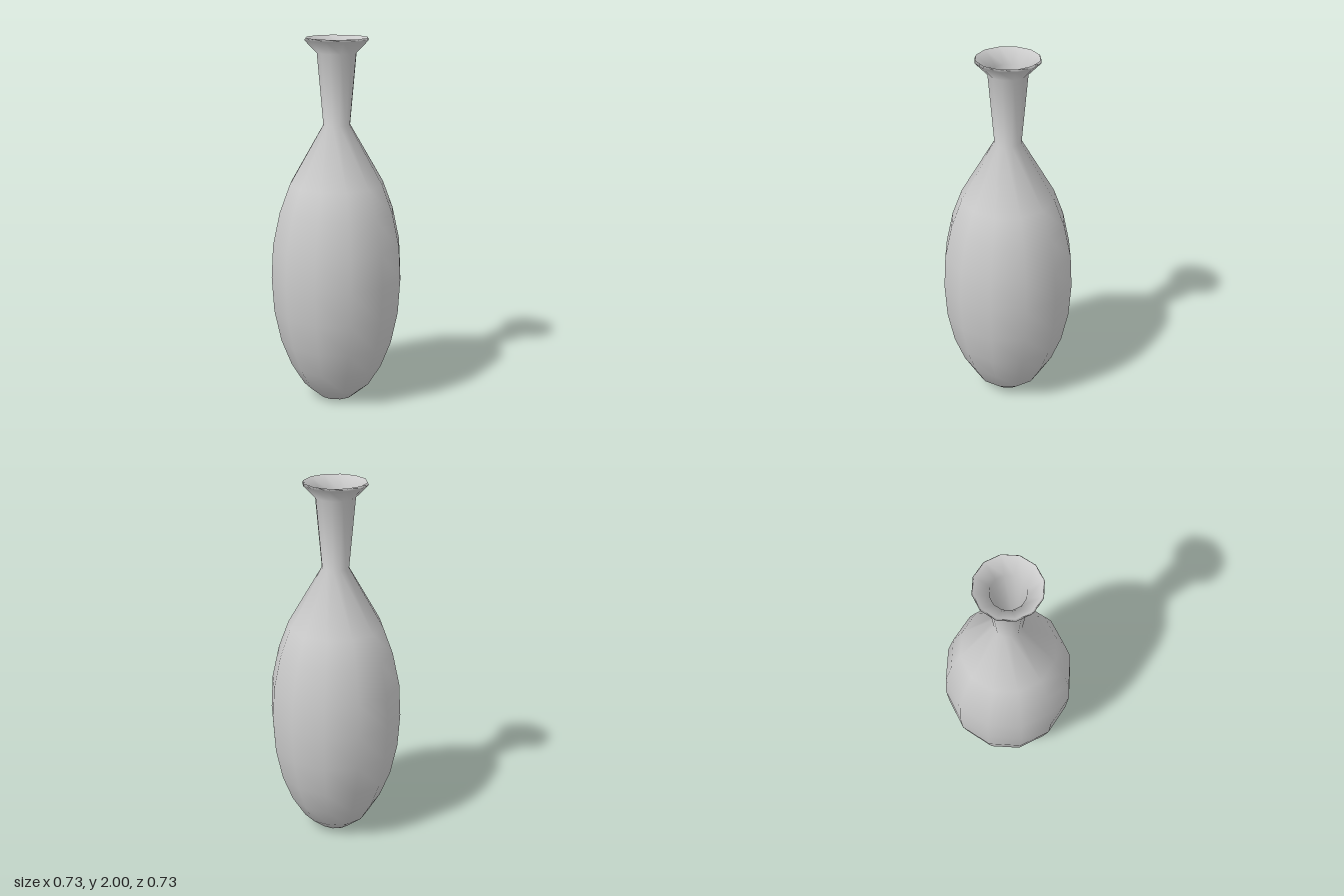
import * as THREE from 'three';

export function createModel() {
  const group = new THREE.Group();
  group.name = 'vase';

  // Outer wall, from the foot up to the flared lip: [radius, height]
  const outer = [
    [0.098, 0], [0.186, 0.075], [0.258, 0.195], [0.314, 0.34], [0.351, 0.515],
    [0.363, 0.705], [0.353, 0.89], [0.314, 1.07], [0.258, 1.22],
    [0.073, 1.54], [0.107, 1.92], [0.173, 1.988],
  ];
  // Inner wall, from the lip down to the floor
  const inner = [
    [0.166, 2], [0.09, 1.93], [0.061, 1.54], [0.247, 1.213], [0.301, 1.065],
    [0.34, 0.888], [0.35, 0.705], [0.338, 0.518], [0.302, 0.346],
    [0.247, 0.203], [0.177, 0.085], [0.093, 0.013],
  ];
  const profile = [[0, 0], ...outer, ...inner, [0, 0.013]]
    .map(([r, y]) => new THREE.Vector2(r, y));

  // Twelve-sided hollow body with smooth normals
  const body = new THREE.Mesh(
    new THREE.LatheGeometry(profile, 12),
    new THREE.MeshStandardMaterial({ color: 0xcccccc }),
  );
  body.name = 'vaseBody';
  group.add(body);
  return group;
}
